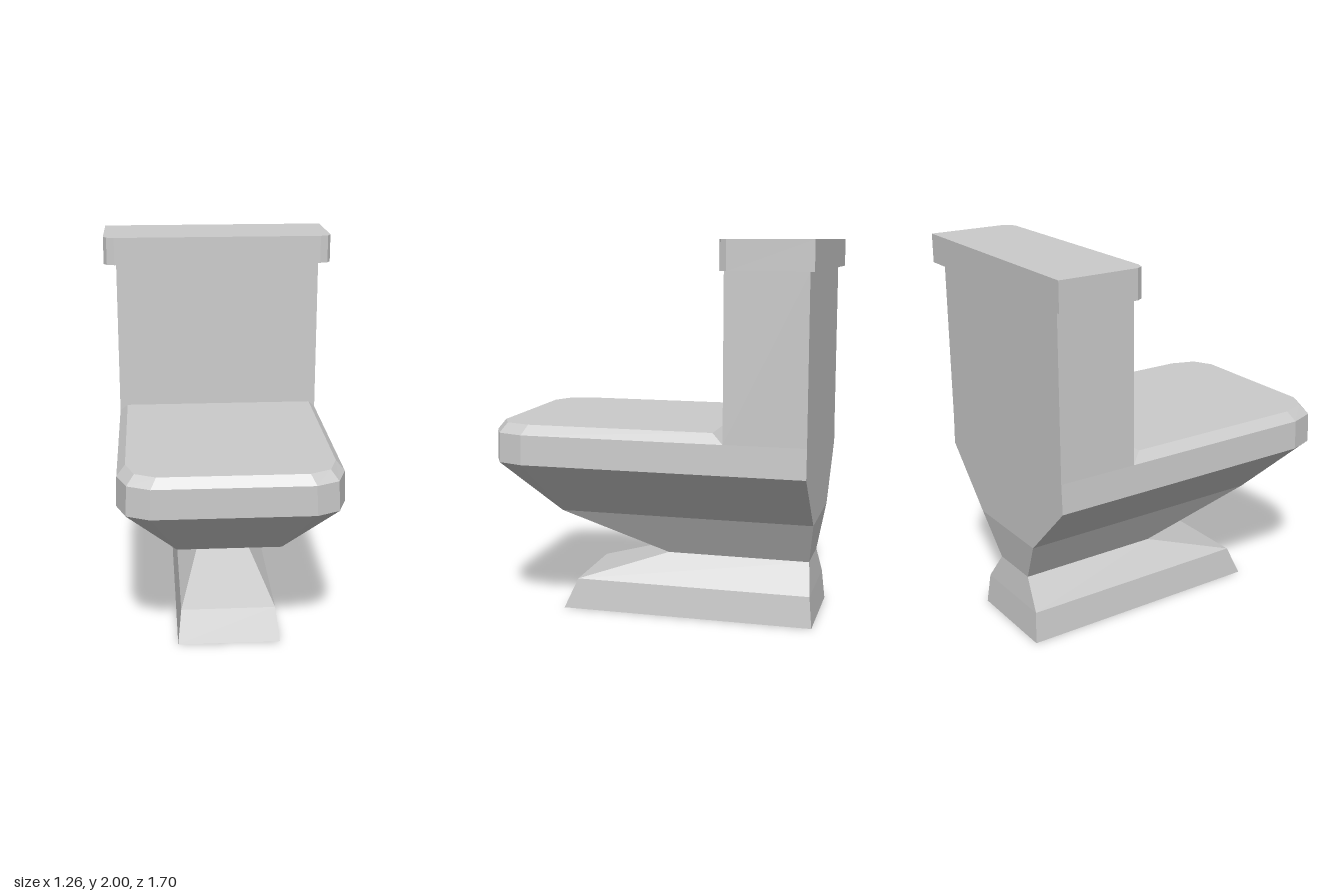
import * as THREE from 'three';

const material = new THREE.MeshStandardMaterial({ color: 0xcccccc, flatShading: true });

// Horizontal outline at height y, mirrored in x; the front corners are cut by dx, dz in two facets
function ring(y, halfWidth, back, front, dx = 0, dz = 0) {
  const side = [
    [halfWidth, back],
    [halfWidth, front - dz],
    [halfWidth - dx * 0.3, front - dz * 0.29],
    [halfWidth - dx, front],
  ];
  const left = side.map(([x, z]) => new THREE.Vector3(x, y, z));
  const right = side.map(([x, z]) => new THREE.Vector3(-x, y, z));
  return [left[0], ...right, left[3], left[2], left[1]];
}

// Skin a stack of outlines from bottom to top, with optional end caps
function loft(name, rings, { bottom = false, top = false } = {}) {
  const points = [];
  const triangle = (a, b, c) => {
    if (!a.equals(b) && !b.equals(c) && !c.equals(a)) points.push(a, b, c);
  };
  for (let r = 0; r < rings.length - 1; r++) {
    const low = rings[r], high = rings[r + 1], n = low.length;
    for (let i = 0; i < n; i++) {
      const j = (i + 1) % n;
      triangle(low[i], low[j], high[j]);
      triangle(low[i], high[j], high[i]);
    }
  }
  const first = rings[0], last = rings[rings.length - 1];
  for (let i = 1; i < first.length - 1; i++) {
    if (bottom) triangle(first[0], first[i + 1], first[i]);
    if (top) triangle(last[0], last[i], last[i + 1]);
  }
  const geometry = new THREE.BufferGeometry().setFromPoints(points);
  geometry.computeVertexNormals();
  const mesh = new THREE.Mesh(geometry, material);
  mesh.name = name;
  return mesh;
}

export function createModel() {
  const group = new THREE.Group();
  group.name = 'toilet';

  // Foot narrowing to a waist
  const waist = ring(0.32, 0.14, -0.785, -0.02);
  group.add(loft('pedestal', [
    ring(0, 0.27, -0.82, 0.54),
    ring(0.165, 0.25, -0.805, 0.465),
    waist,
  ], { bottom: true }));

  // Bowl flaring out to the rim
  group.add(loft('bowl', [
    waist,
    ring(0.55, 0.27, -0.82, 0.54),
    ring(0.85, 0.57, -0.82, 0.85, 0.165, 0.195),
    ring(1.005, 0.563, -0.82, 0.85, 0.165, 0.195),
  ]));

  // Bevelled seat cover
  group.add(loft('seatCover', [
    ring(1.005, 0.563, -0.405, 0.85, 0.165, 0.195),
    ring(1.055, 0.52, -0.345, 0.815, 0.15, 0.185),
  ], { top: true }));

  // Water tank
  group.add(loft('tank', [
    ring(1.005, 0.563, -0.82, -0.405),
    ring(1.85, 0.563, -0.82, -0.405),
  ]));

  // Overhanging tank lid
  group.add(loft('tankLid', [
    ring(1.85, 0.632, -0.85, -0.385, 0.06, 0.045),
    ring(2, 0.632, -0.85, -0.385, 0.06, 0.045),
  ], { bottom: true, top: true }));

  return group;
}
